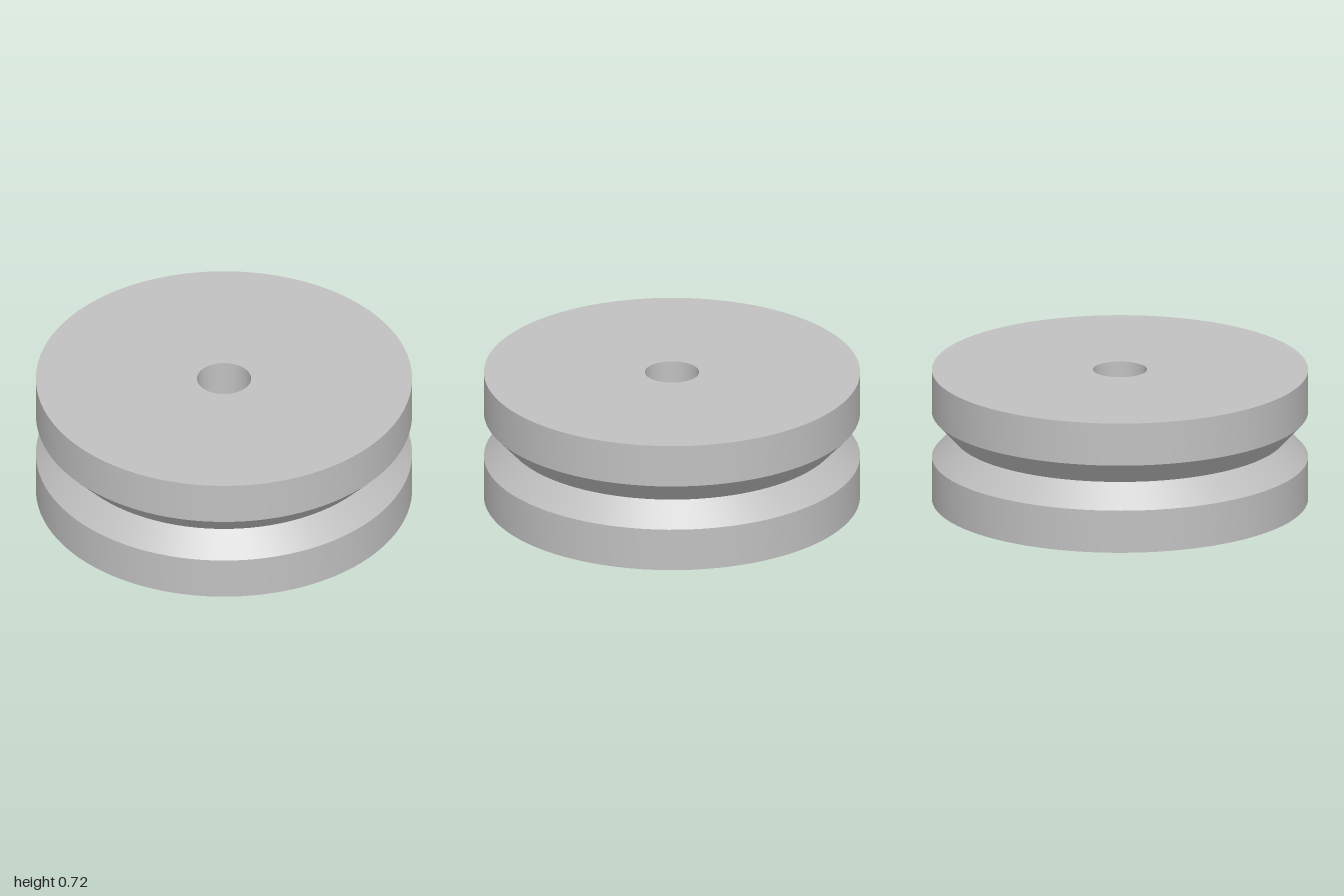
import * as THREE from 'three';
import { toCreasedNormals } from 'three/addons/utils/BufferGeometryUtils.js';

export function createModel() {
  const group = new THREE.Group();
  group.name = 'grooved pulley';

  const metal = new THREE.MeshStandardMaterial({ color: 0xc0c0c0 });
  metal.name = 'grey metal';

  const height = 0.717, rim = 1, bore = 0.144;
  const grooveRoot = 0.885, grooveHalf = 0.125, mid = height / 2;

  // Closed cross-section: bottom face, lower rim, V groove, upper rim, top face, bore
  const profile = [
    [bore, 0],
    [rim, 0],
    [rim, mid - grooveHalf],
    [grooveRoot, mid],
    [rim, mid + grooveHalf],
    [rim, height],
    [bore, height],
    [bore, 0],
  ].map(([r, y]) => new THREE.Vector2(r, y));

  // Revolve, keeping the profile corners sharp and the round surfaces smooth
  const geometry = toCreasedNormals(new THREE.LatheGeometry(profile, 96), 0.5);
  const wheel = new THREE.Mesh(geometry, metal);
  wheel.name = 'pulleyWheel';
  group.add(wheel);

  return group;
}
